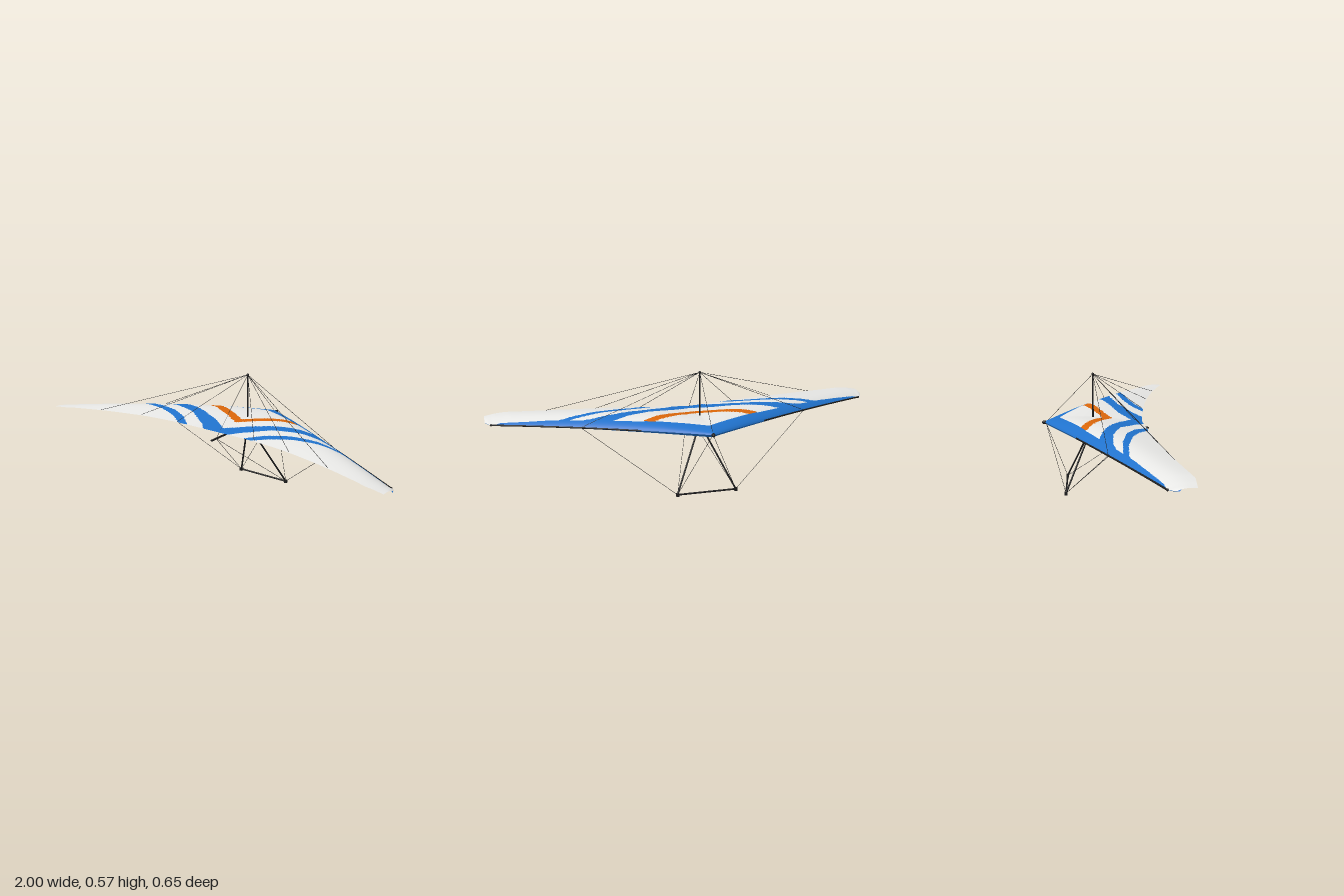
import * as THREE from 'three';

const mat = (name, color, side = THREE.FrontSide) => {
  const m = new THREE.MeshStandardMaterial({ color, side });
  m.name = name;
  return m;
};

// Linear interpolation through [x, value] pairs
function lerpTable(table, x) {
  for (let i = 1; i < table.length; i++) {
    const [x0, v0] = table[i - 1], [x1, v1] = table[i];
    if (x <= x1) return v0 + (v1 - v0) * (x - x0) / (x1 - x0);
  }
  return table[table.length - 1][1];
}

// Wing outline and heights, as functions of a = |x|
const LE_END = 0.97;
const leadZ = a => a <= LE_END ? -0.312 + 0.522 * a / LE_END
  : 0.21 + 0.035 * ((a - LE_END) / 0.03) ** 2;
const leadY = a => 0.326 - 0.03 * Math.min(a / LE_END, 1) ** 2
  + (a > LE_END ? 0.005 * ((a - LE_END) / 0.03) : 0);
const trailZ = a => Math.min(0.165 + 0.05 * a + 0.135 * a * a, 0.323);
const trailY = a => lerpTable([[0, 0.332], [0.1, 0.335], [0.25, 0.34], [0.42, 0.342], [0.65, 0.337], [0.88, 0.328], [0.95, 0.321], [1, 0.312]], a);
const camber = a => lerpTable([[0, 0.027], [0.1, 0.034], [0.2, 0.038], [0.35, 0.036], [0.5, 0.032], [0.7, 0.023], [0.97, 0.01], [1, 0.006]], a);

function upperPoint(x, t) {
  const a = Math.abs(x);
  const bulge = Math.sin(Math.PI * Math.pow(t, 0.6 + 0.22 * a));
  return new THREE.Vector3(x,
    THREE.MathUtils.lerp(leadY(a), trailY(a), t) + camber(a) * bulge,
    THREE.MathUtils.lerp(leadZ(a), trailZ(a), t));
}

// The second skin covers the front of the chord, narrows outboard and sags near the nose
const skin = a => lerpTable([[0, 0.74], [0.3, 0.57], [0.6, 0.46], [0.9, 0.36], [0.97, 0.26], [1, 0.2]], a);
function lowerPoint(x, v) {
  const a = Math.abs(x), end = upperPoint(x, skin(a));
  const depth = 0.003 + 0.026 * Math.max(0, 1 - a) ** 1.5;
  const y = THREE.MathUtils.lerp(leadY(a), end.y - 0.001, v * v) - depth * Math.sin(Math.PI * Math.pow(v, 0.6));
  return new THREE.Vector3(x, y, THREE.MathUtils.lerp(leadZ(a), end.z, v));
}

// Sail pattern: 0 white, 1 blue, 2 orange
const band = [[0, 0.075], [0.3, 0.051], [0.45, 0.042], [0.7, 0.033], [0.93, 0.012], [0.96, 0], [1, 0]];
const sweepTop = [[0, 0.11], [0.1, 0.052], [0.25, -0.003], [0.35, -0.032], [0.42, -0.047], [0.5, -0.06], [1, -0.06]];
const sweepLow = [[0, 0.2], [0.06, 0.185], [0.12, 0.13], [0.25, 0.052], [0.4, 0.015], [0.5, 0.014], [0.57, 0.027], [0.64, 0.052]];
const arcTop = [[0.17, 0.18], [0.25, 0.12], [0.35, 0.08], [0.5, 0.055], [0.64, 0.052], [0.8, 0.05]];
const arcLow = [[0.17, 0.21], [0.25, 0.17], [0.3, 0.14], [0.4, 0.105], [0.55, 0.079], [0.64, 0.077], [0.76, 0.1]];

function sailColour(x, z) {
  const a = Math.abs(x);
  if (z < leadZ(a) + lerpTable(band, a)) return 1;
  if (a < 0.64 && z > lerpTable(sweepTop, a) && z < lerpTable(sweepLow, a)) return 1;
  if (a > 0.17 && a < 0.76 && z > lerpTable(arcTop, a) && z < lerpTable(arcLow, a)) return 1;
  const chevron = -0.5 * a + 0.25 * a * a;
  if (a < 0.28 && z > chevron - 0.028 && z < chevron + 0.019) return 2;
  return 0;
}

// Grid surface over span and chord, with one group of faces per colour
function surface(point, cols, rows, colourOf, flip) {
  const pos = [], buckets = [[], [], []];
  for (let i = 0; i <= cols; i++) {
    for (let j = 0; j <= rows; j++) {
      pos.push(...point(-1 + 2 * i / cols, j / rows).toArray());
    }
  }
  for (let i = 0; i < cols; i++) {
    for (let j = 0; j < rows; j++) {
      const a = i * (rows + 1) + j, b = a + 1, c = a + rows + 1, d = c + 1;
      const mid = point(-1 + 2 * (i + 0.5) / cols, (j + 0.5) / rows);
      buckets[colourOf(mid.x, mid.z)].push(...(flip ? [a, c, b, b, c, d] : [a, b, c, b, d, c]));
    }
  }
  const g = new THREE.BufferGeometry();
  g.setAttribute('position', new THREE.Float32BufferAttribute(pos, 3));
  g.setIndex(buckets.flat());
  let start = 0;
  buckets.forEach((b, k) => {
    if (b.length) g.addGroup(start, b.length, k);
    start += b.length;
  });
  g.computeVertexNormals();
  return g;
}

export function createModel() {
  const model = new THREE.Group();
  model.name = 'hangGlider';
  const white = mat('sailWhite', 0xe6e6e4, THREE.DoubleSide);
  const blue = mat('sailBlue', 0x2072cc, THREE.DoubleSide);
  const orange = mat('sailOrange', 0xda660a, THREE.DoubleSide);
  const black = mat('frameBlack', 0x1c1c1c);
  const sailMats = [white, blue, orange];

  const add = (name, geometry, material) => {
    const m = new THREE.Mesh(geometry, material);
    m.name = name;
    model.add(m);
    return m;
  };
  const V = (x, y, z) => new THREE.Vector3(x, y, z);
  // Straight round bar between two points
  const rod = (name, a, b, r, sides = 10) => {
    const m = add(name, new THREE.CylinderGeometry(r, r, a.distanceTo(b), sides), black);
    m.position.copy(a).add(b).multiplyScalar(0.5);
    m.quaternion.setFromUnitVectors(V(0, 1, 0), b.clone().sub(a).normalize());
  };
  const wire = (name, a, b) => rod(name, a, b, 0.001, 5);

  // Sail
  add('upperSail', surface(upperPoint, 280, 110, sailColour, false), sailMats);
  add('lowerSail', surface(lowerPoint, 120, 24, () => 1, true), sailMats);

  // Keel and nose cap
  const nose = V(0, 0.326, -0.305), keelEnd = V(0, 0.296, 0.2);
  rod('keel', nose, keelEnd, 0.0048);
  const cap = add('noseCap', new THREE.SphereGeometry(0.01, 16, 12), black);
  cap.position.set(0, 0.326, -0.311);
  cap.scale.set(0.9, 0.9, 1.4);

  // King post
  const postTop = V(0, 0.565, -0.075), apex = V(0, 0.314, -0.075);
  rod('kingPost', apex, postTop, 0.0043);
  add('kingPostCap', new THREE.SphereGeometry(0.0065, 12, 10), black).position.copy(postTop);
  add('apexFitting', new THREE.BoxGeometry(0.016, 0.012, 0.016), black).position.copy(apex);

  // Base bar
  rod('baseBar', V(-0.145, 0.008, -0.206), V(0.145, 0.008, -0.206), 0.0043);

  // Upper rigging on the centre line
  wire('frontTopWire', postTop, nose);
  wire('rearTopWire', postTop, V(0, 0.298, 0.165));

  // Mirrored frame and rigging
  for (const s of [1, -1]) {
    const corner = V(0.145 * s, 0.008, -0.206);
    const joint = V(0.565 * s, 0.317, -0.009);
    const edge = [];
    for (let i = 0; i <= 10; i++) {
      const a = 0.3 + 0.672 * i / 10;
      edge.push(V(a * s, leadY(a), leadZ(a)));
    }
    add('leadingEdgeTube', new THREE.TubeGeometry(new THREE.CatmullRomCurve3(edge), 30, 0.004, 8), black);
    add('leadingEdgeTip', new THREE.SphereGeometry(0.0055, 10, 8), black).position.copy(edge[10]);
    rod('downtube', apex, corner, 0.0043);
    add('cornerFitting', new THREE.BoxGeometry(0.014, 0.014, 0.014), black).position.set(corner.x, 0.007, corner.z);

    wire('sideTopWire', postTop, joint);
    for (const a of [0.7, 0.46, 0.24]) {
      wire('reflexWire', postTop, upperPoint(a * s, 0.98));
    }
    wire('frontLowerWire', corner, nose);
    wire('sideLowerWire', corner, joint);
    wire('rearLowerWire', corner, V(0, 0.298, 0.165));
  }
  return model;
}
